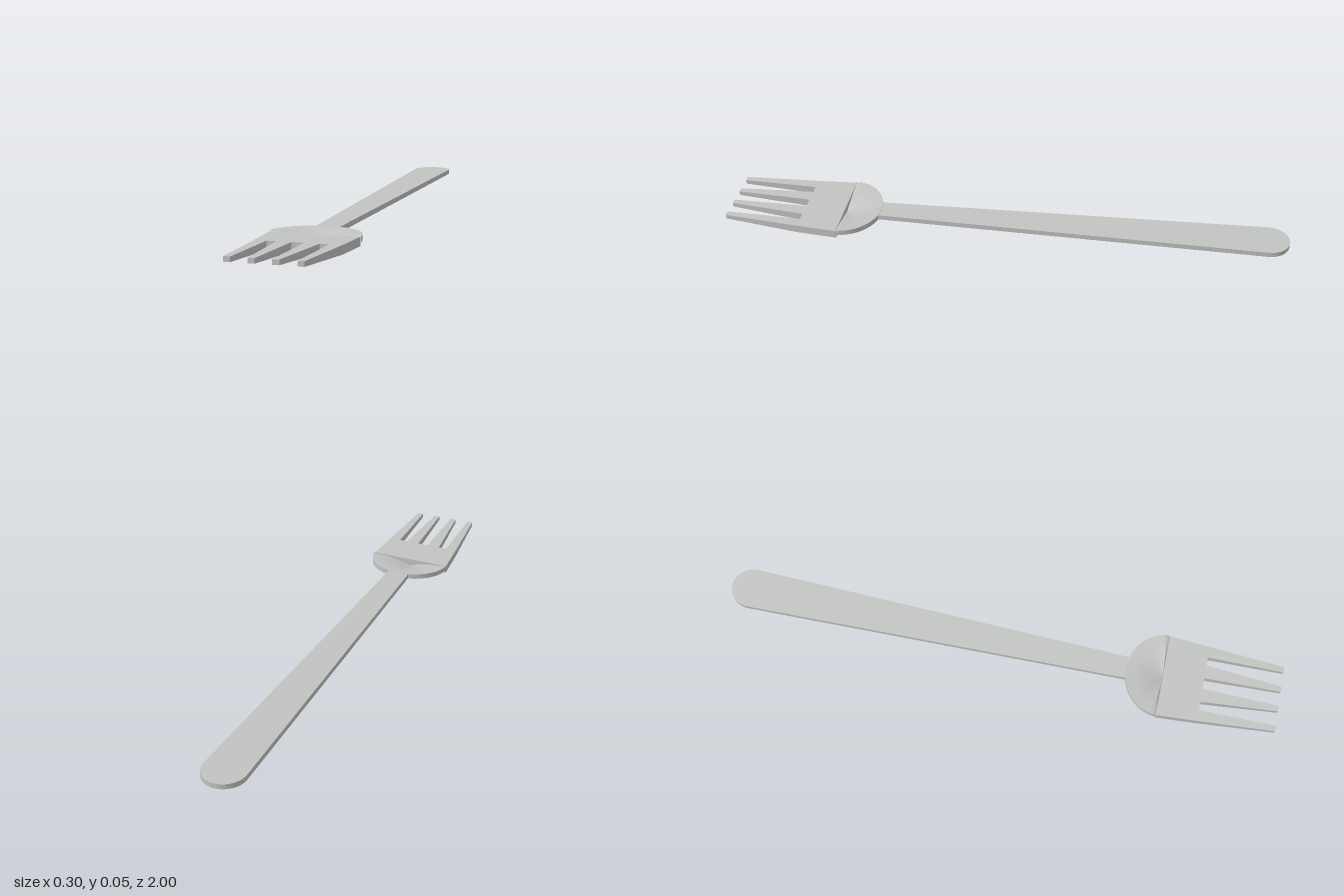
import * as THREE from 'three';
import { toCreasedNormals } from 'three/addons/utils/BufferGeometryUtils.js';

const steel = new THREE.MeshStandardMaterial({ color: 0xc2c4c2 });
steel.name = 'steel';
const lerp = THREE.MathUtils.mapLinear;

// Plate with an (x, z) outline whose top and bottom heights depend on z
function plate(name, shape, top, bottom) {
  const geo = new THREE.ExtrudeGeometry(shape, { depth: 1, bevelEnabled: false, curveSegments: 16 });
  geo.rotateX(Math.PI / 2);
  const p = geo.attributes.position;
  for (let i = 0; i < p.count; i++) {
    const z = p.getZ(i);
    p.setY(i, p.getY(i) > -0.5 ? top(z) : bottom(z));
  }
  return named(name, toCreasedNormals(geo, 0.5));
}

function named(name, geo) {
  const mesh = new THREE.Mesh(geo, steel);
  mesh.name = name;
  return mesh;
}

const outline = (pts) => new THREE.Shape(pts.map(([x, z]) => new THREE.Vector2(x, z)));

export function createModel() {
  const fork = new THREE.Group();
  fork.name = 'fork';

  // Handle: widens towards a round end and rises to the back
  const grip = new THREE.Shape();
  grip.moveTo(0.04, 0.46);
  grip.lineTo(-0.04, 0.46);
  grip.lineTo(-0.073, -0.927);
  grip.absarc(0, -0.927, 0.073, Math.PI, Math.PI * 2, false);
  grip.closePath();
  const handleTop = (z) => lerp(z, 0.46, -1, 0.032, 0.055);
  fork.add(plate('handle', grip, handleTop, (z) => handleTop(z) - 0.018));

  // Bowl: half a shallow dish that dips where it meets the tine plate
  const profile = [[0, 0.001], [0.04, 0.004], [0.08, 0.009], [0.115, 0.013], [0.152, 0.014],
    [0.152, 0.033], [0.125, 0.031], [0.1, 0.028], [0.075, 0.023], [0.05, 0.017], [0.025, 0.01], [0, 0.005]]
    .map(([r, y]) => new THREE.Vector2(r, y));
  const dish = new THREE.LatheGeometry(profile, 32, Math.PI / 2, Math.PI);
  const p = dish.attributes.position;
  for (let i = 0; i < p.count; i++) {
    if (p.getZ(i) > -1e-4) p.setY(i, Math.max(0.001, p.getY(i) - 0.007));
  }
  dish.scale(1, 1, 0.135 / 0.152);
  dish.translate(0, 0, 0.587);
  fork.add(named('bowl', toCreasedNormals(dish, 0.6)));

  // Flat plate that carries the tines
  const tineTop = (z) => lerp(Math.max(z, 0.73), 0.73, 1, 0.029, 0.032);
  const tineBottom = (z) => lerp(Math.max(z, 0.73), 0.73, 1, 0, 0.016);
  const root = outline([[-0.151, 0.585], [0.151, 0.585], [0.141, 0.73], [-0.141, 0.73]]);
  fork.add(plate('tinePlate', root, tineTop, tineBottom));

  // Four tapering tines, mirrored in pairs: [root inner, root outer, tip inner, tip outer]
  const tines = { innerTine: [0.02, 0.069, 0.026, 0.047], outerTine: [0.1, 0.141, 0.1, 0.121] };
  for (const [name, [a, b, c, d]] of Object.entries(tines)) {
    for (const s of [1, -1]) {
      const shape = outline([[s * a, 0.73], [s * b, 0.73], [s * d, 1], [s * c, 1]]);
      fork.add(plate(name, shape, tineTop, tineBottom));
    }
  }
  return fork;
}
